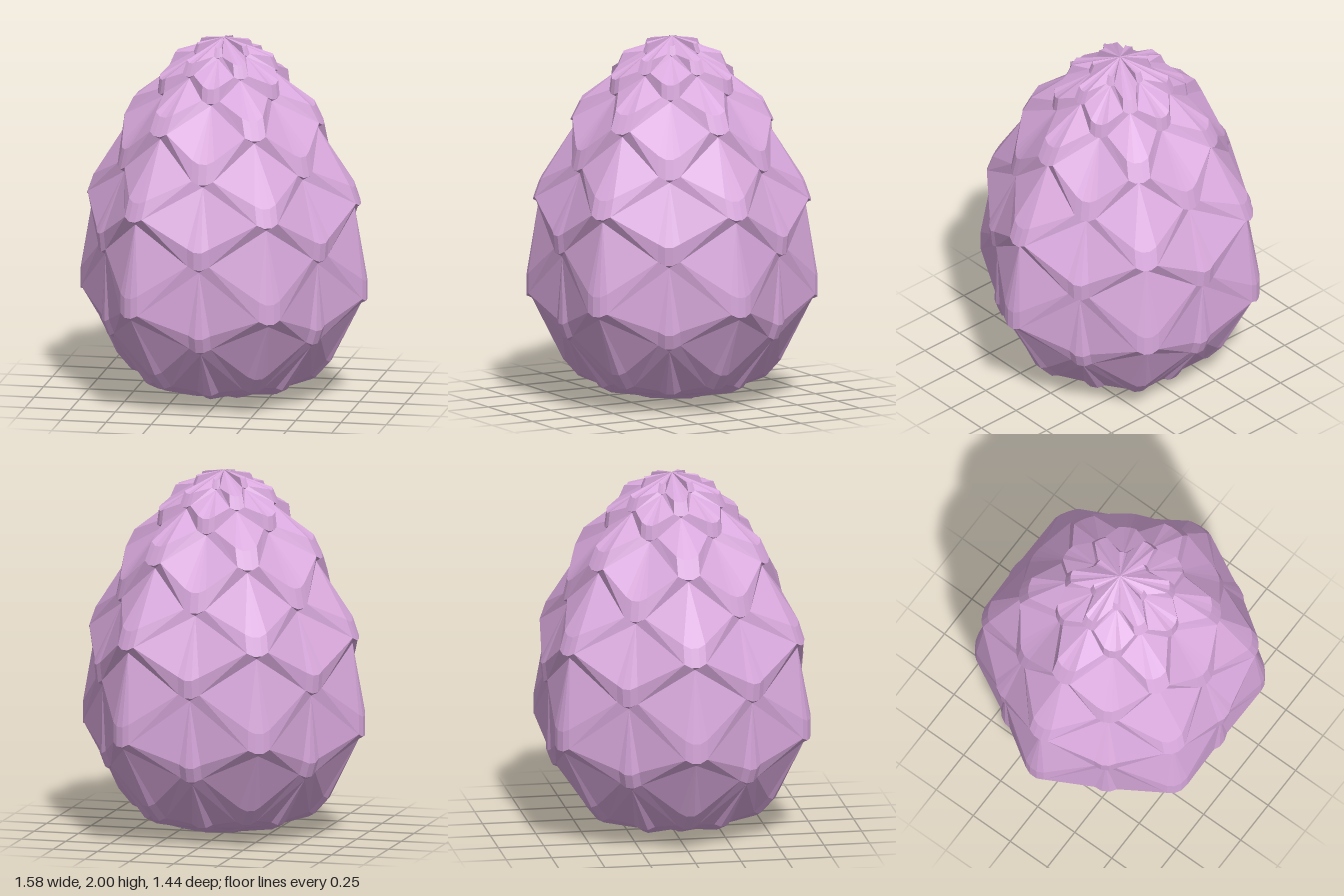
import * as THREE from 'three';

// Rows of scale tips from crown to base: [upper radius, upper y, lower radius, lower y]
const ROWS = [
  [0.15, 1.97, 0.17, 1.92], [0.27, 1.90, 0.30, 1.83], [0.36, 1.79, 0.37, 1.71],
  [0.50, 1.64, 0.55, 1.54], [0.575, 1.42, 0.60, 1.31], [0.72, 1.20, 0.755, 1.10],
  [0.72, 0.96, 0.71, 0.86], [0.79, 0.68, 0.79, 0.57], [0.69, 0.47, 0.66, 0.39],
  [0.59, 0.22, 0.51, 0.13], [0.44, 0.10, 0.40, 0.08], [0.27, 0.05, 0.24, 0.045],
];
const COUNT = 6;
const OFFSETS = [-0.06, -0.022, 0.022, 0.06]; // blunt, slightly rounded tip

// One edge of a tip: four points around azimuth a, the outer two raised
function tipEdge(a, r, y) {
  const s = Math.min(1, r / 0.45);
  return OFFSETS.map((u, j) => {
    const outer = j === 0 || j === 3;
    const rr = r - (outer ? 0.012 * s : 0);
    const side = u * s;
    return new THREE.Vector3(
      Math.sin(a) * rr + Math.cos(a) * side,
      y + (outer ? 0.018 * s : 0),
      Math.cos(a) * rr - Math.sin(a) * side
    );
  });
}

// A tip: upper edge, lower edge and the recessed point under its lip
function makeTip(row, k) {
  const [r1, y1, r2, y2] = ROWS[row];
  const a = (k + (row % 2) / 2) * Math.PI / 3;
  const inset = 0.03 * Math.min(1, r2 / 0.5);
  const q = new THREE.Vector3(Math.sin(a) * (r2 - inset), y2 - inset * 0.6, Math.cos(a) * (r2 - inset));
  return { top: tipEdge(a, r1, y1), low: tipEdge(a, r2, y2), q };
}

// Poles count as rows whose tips have shrunk to a point
function poleTip(y) {
  const p = new THREE.Vector3(0, y, 0);
  return { top: [p, p, p, p], low: [p, p, p, p], q: p };
}

function buildScales() {
  const crown = poleTip(2), base = poleTip(0);
  const tips = ROWS.map((_, i) => Array.from({ length: COUNT }, (_, k) => makeTip(i, k)));
  const get = (i, k) => i < 0 ? crown : i >= ROWS.length ? base : tips[i][(k + COUNT) % COUNT];

  const pos = [];
  const ab = new THREE.Vector3(), ac = new THREE.Vector3();
  const tri = (a, b, c) => {
    if (ab.subVectors(b, a).cross(ac.subVectors(c, a)).length() < 1e-8) return;
    for (const p of [a, b, c]) pos.push(p.x, p.y, p.z);
  };

  for (let i = 0; i <= ROWS.length; i++) {
    for (let k = 0; k < COUNT; k++) {
      const odd = i % 2;
      const kl = odd ? k : k - 1, kr = kl + 1; // neighbours in the adjoining rows
      const tip = get(i, k), apex = get(i - 2, k).q;
      const left = get(i - 1, kl).low[3], right = get(i - 1, kr).low[0];

      // diamond face of the scale
      const rim = [left, ...tip.top, right];
      for (let j = 0; j < rim.length - 1; j++) tri(apex, rim[j], rim[j + 1]);

      // thick lower edge: two tapering sides and the blunt tip
      tri(left, tip.low[0], tip.top[0]);
      tri(right, tip.top[3], tip.low[3]);
      for (let j = 0; j < 3; j++) {
        tri(tip.top[j], tip.low[j], tip.low[j + 1]);
        tri(tip.top[j], tip.low[j + 1], tip.top[j + 1]);
      }

      // underside of the lip
      const lip = [get(i + 1, kl).low[3], ...tip.low, get(i + 1, kr).low[0]];
      for (let j = 0; j < lip.length - 1; j++) tri(lip[j], tip.q, lip[j + 1]);
    }
  }
  const geo = new THREE.BufferGeometry();
  geo.setAttribute('position', new THREE.Float32BufferAttribute(pos, 3));
  geo.computeVertexNormals();
  return geo;
}

export function createModel() {
  const group = new THREE.Group();
  group.name = 'scaledEgg';
  const shell = new THREE.Mesh(
    buildScales(),
    new THREE.MeshStandardMaterial({ color: 0xd9a9dd, flatShading: true })
  );
  shell.name = 'scaleShell';
  group.add(shell);
  return group;
}
